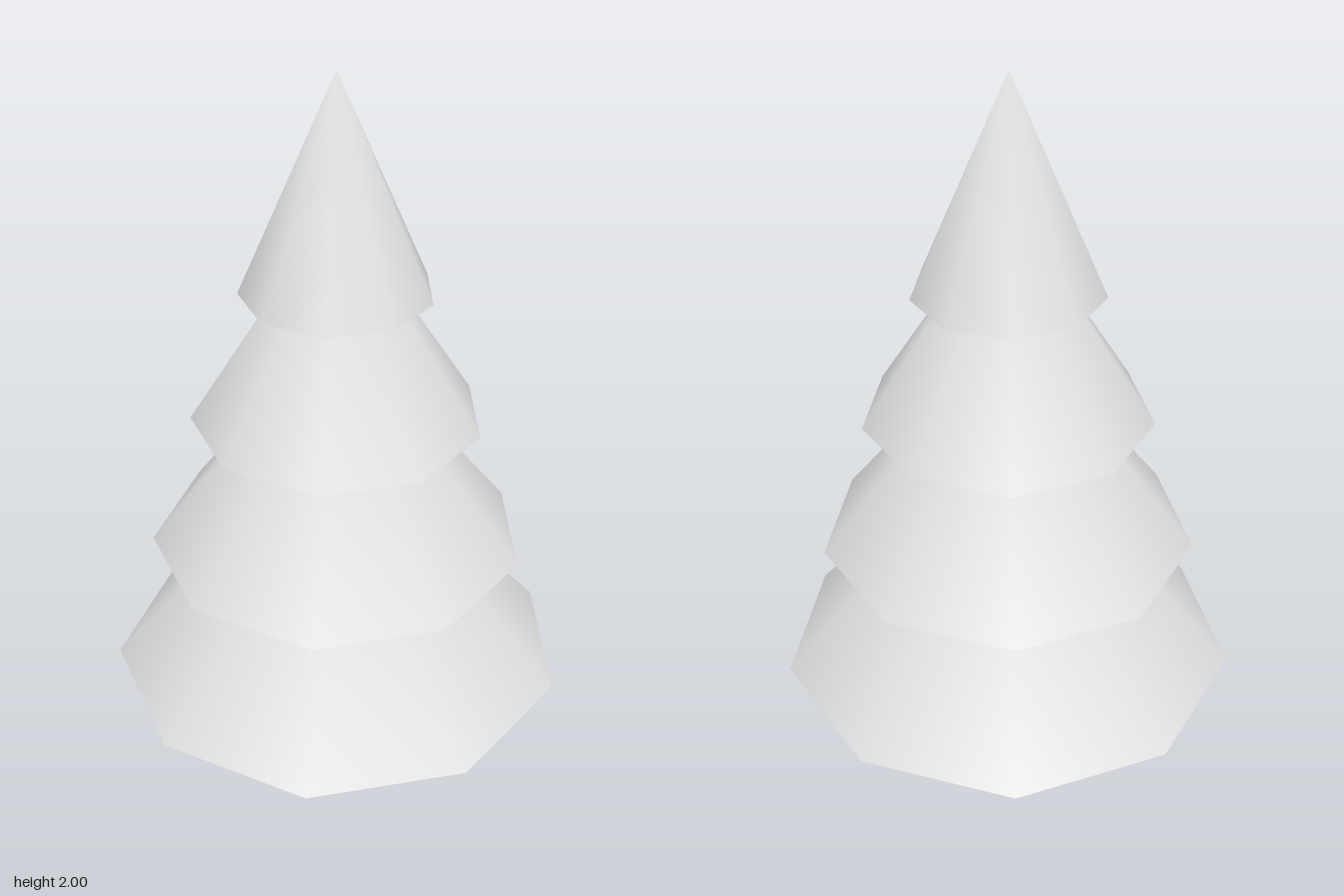
import * as THREE from 'three';
import { mergeVertices } from 'three/addons/utils/BufferGeometryUtils.js';

const CENTRE_X = -0.018;

// Open nine-sided cone with one shared tip, a corner pointing to +x
function smoothCone(radius, height, inward = false) {
  let g = new THREE.ConeGeometry(radius, height, 9, 1, true, Math.PI / 2);
  g.translate(0, height / 2, 0);
  g.deleteAttribute('normal');
  g.deleteAttribute('uv');
  g = mergeVertices(g, 1e-4);
  if (inward) g.setIndex(Array.from(g.index.array).reverse());
  g.computeVertexNormals();
  return g;
}

export function createModel() {
  const model = new THREE.Group();
  model.name = 'pineTree';

  const paleGrey = new THREE.MeshStandardMaterial({ color: 0xe0e0e0, side: THREE.DoubleSide });
  const paleGreyFlat = paleGrey.clone();
  paleGreyFlat.flatShading = true;
  paleGrey.name = 'paleGrey';
  paleGreyFlat.name = 'paleGreyFaceted';

  // Tapered seven-sided trunk, open at both ends
  const trunk = new THREE.Mesh(
    new THREE.CylinderGeometry(0.058, 0.074, 0.56, 7, 1, true, Math.PI / 2),
    paleGreyFlat
  );
  trunk.name = 'trunk';
  trunk.position.set(CENTRE_X, 0.28, 0);
  model.add(trunk);

  // Foliage tiers: rim radius, rim height, tip height
  const tiers = [
    [0.588, 0.39, 1.08],
    [0.475, 0.76, 1.38],
    [0.362, 1.12, 1.69],
    [0.235, 1.46, 2.0],
  ];
  tiers.forEach(([radius, base, tip], i) => {
    const tier = new THREE.Group();
    tier.name = `foliageTier${i + 1}`;
    tier.position.set(CENTRE_X, base, 0);

    const outside = new THREE.Mesh(smoothCone(radius, tip - base), paleGrey);
    outside.name = 'branches';
    // Shallow hollow under each tier
    const underside = new THREE.Mesh(smoothCone(radius, radius * 0.26, true), paleGrey);
    underside.name = 'underside';

    tier.add(outside, underside);
    model.add(tier);
  });

  return model;
}
